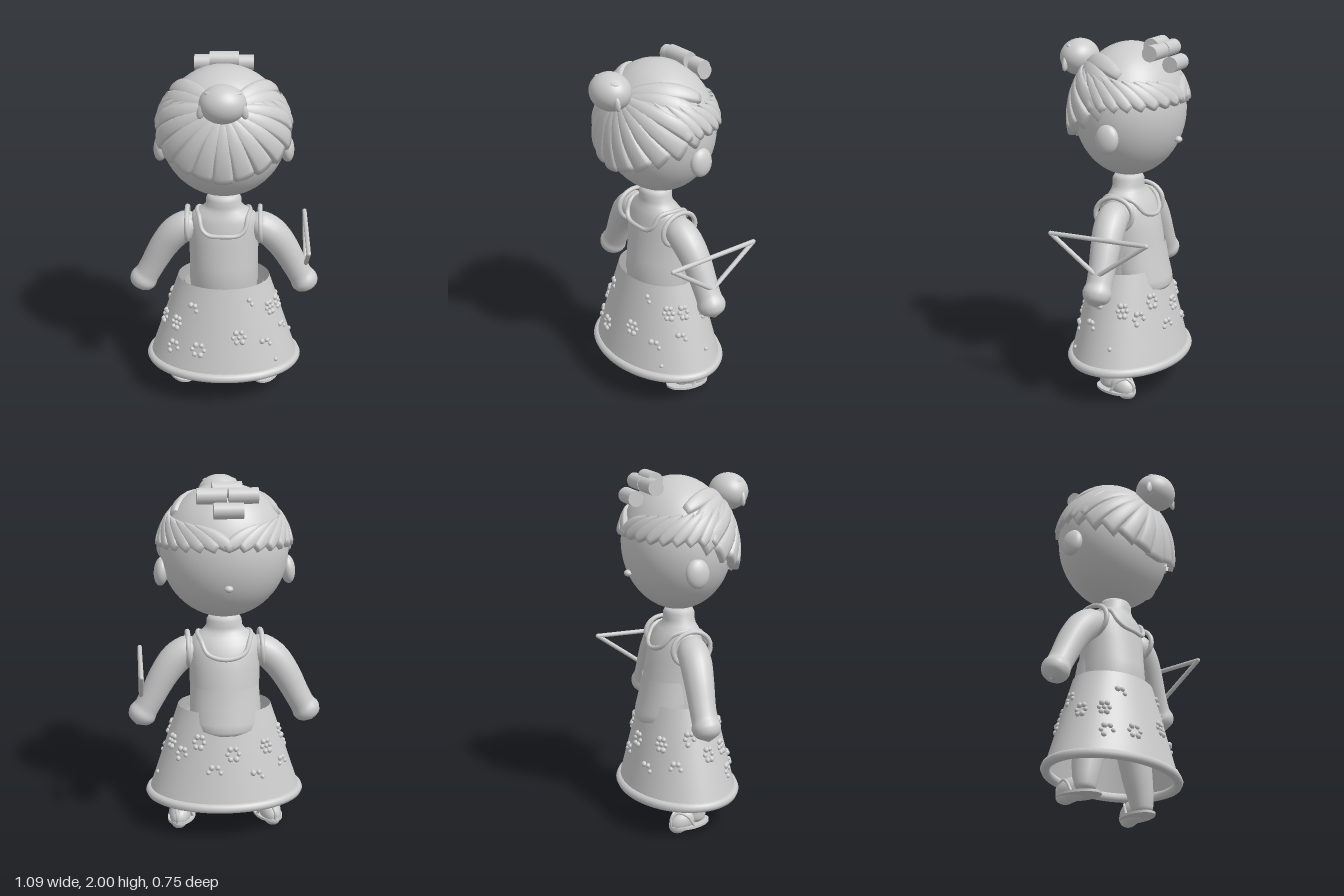
import * as THREE from 'three';

const clay = new THREE.MeshStandardMaterial({ color: 0xcccccc, side: THREE.DoubleSide });
clay.name = 'light grey clay';
const V = (x, y, z) => new THREE.Vector3(x, y, z);

function add(parent, name, geo, pos = [0, 0, 0], scale = [1, 1, 1], rot = [0, 0, 0]) {
  const m = new THREE.Mesh(geo, clay);
  m.name = name;
  m.position.set(...pos); m.scale.set(...scale); m.rotation.set(...rot);
  parent.add(m);
  return m;
}

// Grid of points (rows of equal length) to a smooth surface
function surface(rows, closed) {
  const n = rows[0].length, idx = [], pos = [];
  rows.forEach(r => r.forEach(p => pos.push(p.x, p.y, p.z)));
  for (let i = 0; i < rows.length - 1; i++)
    for (let j = 0; j < (closed ? n : n - 1); j++) {
      const k = (j + 1) % n, a = i * n + j, b = i * n + k, c = a + n, d = b + n;
      idx.push(a, b, d, a, d, c);
    }
  const g = new THREE.BufferGeometry();
  g.setAttribute('position', new THREE.Float32BufferAttribute(pos, 3));
  g.setIndex(idx);
  g.computeVertexNormals();
  return g;
}

// Stack of horizontal ellipses: [y, rx, rz, centre z]
function loft(sections, seg = 48) {
  return surface(sections.map(([y, rx, rz, cz]) => Array.from({ length: seg }, (_, j) => {
    const t = j / seg * Math.PI * 2;
    return V(Math.sin(t) * rx, y, cz + Math.cos(t) * rz);
  })), true);
}

// Round limb along a curve with changing radius: [x, y, z, r]
function limb(pts, steps = 28, seg = 20) {
  const curve = new THREE.CatmullRomCurve3(pts.map(p => V(p[0], p[1], p[2])));
  const radius = new THREE.CatmullRomCurve3(pts.map(p => V(p[3], 0, 0)));
  const rows = [];
  for (let i = 0; i <= steps; i++) {
    const t = i / steps, c = curve.getPoint(t), d = curve.getTangent(t);
    const a = V(0, 0, 1).cross(d).normalize(), b = d.clone().cross(a);
    const r = Math.max(0.001, radius.getPoint(t).x);
    rows.push(Array.from({ length: seg }, (_, j) => {
      const w = j / seg * Math.PI * 2;
      return c.clone().addScaledVector(a, Math.cos(w) * r).addScaledVector(b, Math.sin(w) * r);
    }));
  }
  return surface(rows, true);
}

const tube = (pts, r, closed = false) => new THREE.TubeGeometry(
  new THREE.CatmullRomCurve3(pts.map(p => V(...p)), closed, 'centripetal'), 64, r, 8, closed);

// Head ellipsoid and directions around it (angle in degrees from +z, unit height)
const headC = V(0, 1.602, -0.04), headR = V(0.35, 0.368, 0.3);
function dir(deg, y) {
  const t = deg * Math.PI / 180, c = Math.sqrt(1 - y * y);
  return V(Math.sin(t) * c, y, Math.cos(t) * c);
}

// Hair lock lying on the head from direction a to direction b
function lock(a, b, width, lift) {
  const rows = [], side = a.clone().cross(b).normalize();
  for (let i = 0; i <= 13; i++) {
    const s = Math.min(i / 12, 1), row = [];
    for (let j = 0; j <= 8; j++) {
      const t = j / 4 - 1;
      const d = a.clone().lerp(b, s).normalize().addScaledVector(side, t * width(s)).normalize();
      const bulge = i === 13 ? 0.95 : lift(s, d) + 0.055 * Math.sqrt(1 - t * t) - (Math.abs(t) === 1 ? 0.05 : 0);
      row.push(d.multiply(headR).multiplyScalar(bulge).add(headC));
    }
    rows.push(row);
  }
  return surface(rows, false);
}

function buildHead(g) {
  const ball = new THREE.SphereGeometry(1, 48, 32);
  add(g, 'head', ball, headC.toArray(), headR.toArray());
  add(g, 'nose', ball, [0, 1.452, -0.325], [0.024, 0.018, 0.022]);
  for (const s of [1, -1])
    add(g, s > 0 ? 'leftEar' : 'rightEar', ball, [s * 0.347, 1.495, -0.063], [0.04, 0.08, 0.066], [0, 0, s * 0.1]);

  // Fan of locks hanging from the bun
  const bunDir = dir(0, 0.56);
  for (let i = -5; i <= 5; i++) {
    const deg = i * 18, k = Math.abs(i) / 5;
    add(g, 'hairLock', lock(bunDir, dir(deg, -0.42 + 0.5 * Math.pow(k, 1.3)),
      s => 0.03 + 0.14 * Math.sqrt(s), (s, d) => 1.0 + 0.14 * s * Math.max(0, d.z)));
  }
  for (const s of [1, -1]) {
    // Upper swept locks
    for (let i = 0; i < 3; i++)
      add(g, 'sweptLock', lock(bunDir, dir(s * (85 + i * 10), 0.25 + i * 0.17),
        t => 0.03 + 0.13 * Math.sin(t * 2.7), () => 1.0));
    // Braid round the sides to the forehead
    for (let i = 0; i < 9; i++) {
      const deg = 74 + i * 13;
      add(g, 'braidLeaf', lock(dir(s * (deg - 30), 0.6 - i * 0.015), dir(s * (deg + 5), 0.12 + i * 0.008),
        t => 0.02 + 0.1 * Math.sin(t * 2.6), t => 1.0 + 0.035 * t));
    }
  }

  // Bun with small leaves
  add(g, 'bun', ball, [0, 1.865, 0.27], [0.124, 0.102, 0.107]);
  for (const s of [1, -1]) {
    add(g, 'bunLeaf', ball, [s * 0.108, 1.84, 0.305], [0.022, 0.045, 0.016], [0, 0, s * 0.3]);
    add(g, 'bunLeafTop', ball, [s * 0.06, 1.93, 0.305], [0.04, 0.014, 0.018], [0, s * 0.5, 0]);
  }

  // Four curlers above the forehead
  const curler = new THREE.CylinderGeometry(0.043, 0.043, 0.158, 24);
  for (const p of [[-0.085, 1.93, -0.222], [0.083, 1.93, -0.222], [0, 1.958, -0.193], [0, 1.866, -0.303]])
    add(g, 'curler', curler, p, [1, 1, 1], [0, 0, Math.PI / 2]);
}

function buildBody(g) {
  add(g, 'torsoAndNeck', loft([[0.62, 0.19, 0.17, -0.06], [0.72, 0.197, 0.19, -0.055], [0.82, 0.195, 0.18, -0.055],
    [0.95, 0.198, 0.16, -0.05], [1.03, 0.2, 0.145, -0.045], [1.09, 0.195, 0.125, -0.037], [1.125, 0.165, 0.105, -0.03],
    [1.15, 0.12, 0.09, -0.027], [1.175, 0.1, 0.086, -0.027], [1.21, 0.098, 0.087, -0.027], [1.232, 0.085, 0.076, -0.027],
    [1.24, 0.05, 0.045, -0.027]]));
  add(g, 'blouseTail', loft([[0.595, 0.06, 0.04, -0.21], [0.598, 0.15, 0.11, -0.16], [0.62, 0.19, 0.15, -0.132],
    [0.66, 0.2, 0.155, -0.12], [0.74, 0.198, 0.155, -0.1], [0.85, 0.19, 0.15, -0.085]]));
  // Scooped neckline on both sides
  add(g, 'neckline', tube([[0.15, 1.13, -0.03], [0.135, 1.12, 0.045], [0.12, 1.06, 0.08], [0.085, 1.03, 0.095],
    [0, 1.025, 0.103], [-0.085, 1.03, 0.095], [-0.12, 1.06, 0.08], [-0.135, 1.12, 0.045], [-0.15, 1.13, -0.03],
    [-0.135, 1.11, -0.12], [-0.1, 1.045, -0.17], [0, 1.02, -0.195], [0.1, 1.045, -0.17], [0.135, 1.11, -0.12]], 0.013, true));

  for (const s of [1, -1]) {
    const side = s > 0 ? 'left' : 'right';
    add(g, side + 'Armhole', new THREE.TorusGeometry(0.105, 0.014, 10, 40), [s * 0.205, 1.045, -0.035],
      [1.05, 0.9, 1], [0, Math.PI / 2, s * 0.12]);
    add(g, side + 'Arm', limb([[s * 0.14, 1.04, -0.035, 0.04], [s * 0.2, 1.035, -0.035, 0.085], [s * 0.27, 0.99, -0.04, 0.088],
      [s * 0.34, 0.9, -0.05, 0.082], [s * 0.405, 0.78, -0.058, 0.073], [s * 0.44, 0.715, -0.06, 0.071],
      [s * 0.465, 0.675, -0.06, 0.08], [s * 0.485, 0.64, -0.06, 0.066], [s * 0.5, 0.61, -0.06, 0.003]]));
  }

  // Triangular handle at the left hand
  const corners = [[0.47, 0.98, 0.215], [0.47, 0.98, -0.348], [0.47, 0.775, -0.062]];
  corners.forEach((p, i) => {
    const q = corners[(i + 1) % 3];
    add(g, 'triangleBar', new THREE.TubeGeometry(new THREE.LineCurve3(V(...p), V(...q)), 1, 0.013, 10));
    add(g, 'triangleCorner', new THREE.SphereGeometry(0.013, 10, 8), p);
  });
}

function buildSkirt(g) {
  const at = y => {
    const t = (0.72 - y) / 0.52;
    return [y, 0.262 + 0.172 * t, 0.198 + 0.117 * t, -0.042];
  };
  add(g, 'skirt', loft([0.19, 0.3, 0.4, 0.5, 0.6, 0.72].map(at), 64));
  const hem = Array.from({ length: 32 }, (_, i) => {
    const a = i / 32 * Math.PI * 2;
    return [Math.sin(a) * 0.426, 0.2, -0.042 + Math.cos(a) * 0.308];
  });
  add(g, 'skirtHem', tube(hem, 0.027, true));

  // Bead blossoms: [angle, height, beads]
  const bead = new THREE.SphereGeometry(1, 10, 8);
  const blossoms = [[-52, 0.48, 7], [-48, 0.34, 5], [-22, 0.36, 6], [-35, 0.58, 3], [15, 0.44, 7], [58, 0.57, 7], [28, 0.62, 2],
    [40, 0.37, 3], [42, 0.27, 1], [78, 0.57, 6], [112, 0.53, 7], [132, 0.48, 5], [95, 0.33, 1], [70, 0.42, 3],
    [150, 0.56, 6], [168, 0.4, 4], [185, 0.5, 6], [205, 0.36, 3], [222, 0.52, 7], [240, 0.4, 4], [258, 0.56, 5], [282, 0.47, 6]];
  for (const [deg, y, n] of blossoms)
    for (let i = 0; i < n; i++) {
      const w = i / 6 * Math.PI * 2, r = i === 6 ? 0 : 0.032;
      const [h, rx, rz, cz] = at(y + Math.sin(w) * r);
      const t = deg * Math.PI / 180 + Math.cos(w) * r / 0.33;
      const size = 0.013 + 0.002 * (i % 3);
      add(g, 'skirtBead', bead, [Math.sin(t) * rx, h, cz + Math.cos(t) * rz], [size, size, size]);
    }
}

function buildLegs(g) {
  const ball = new THREE.SphereGeometry(1, 24, 16);
  for (const s of [1, -1]) {
    const side = s > 0 ? 'left' : 'right';
    add(g, side + 'Leg', limb([[s * 0.13, 0.66, -0.05, 0.1], [s * 0.17, 0.45, -0.045, 0.098], [s * 0.215, 0.25, -0.04, 0.085],
      [s * 0.24, 0.13, -0.035, 0.07], [s * 0.248, 0.07, -0.035, 0.06], [s * 0.25, 0.035, -0.035, 0.01]]));
    const foot = new THREE.Group();
    foot.name = side + 'Foot';
    foot.position.set(s * 0.25, 0, -0.07);
    foot.rotation.y = -s * 0.25;
    g.add(foot);
    add(foot, 'foot', ball, [0, 0.075, -0.04], [0.06, 0.065, 0.09], [-0.35, 0, 0]);
    add(foot, 'toe', ball, [0, 0.04, -0.075], [0.045, 0.04, 0.055]);
    add(foot, 'sandalSole', new THREE.CylinderGeometry(1, 1, 0.014, 40), [0, 0.042, 0], [0.078, 1, 0.128]);
    for (const k of [1, -1])
      add(foot, 'sandalStrap', tube([[k * 0.068, 0.045, -0.01], [k * 0.05, 0.11, -0.05], [k * 0.015, 0.125, -0.09],
        [0, 0.09, -0.125], [0, 0.045, -0.122]], 0.008));
  }
}

export function createModel() {
  const model = new THREE.Group();
  model.name = 'doll';
  for (const [name, build] of [['headGroup', buildHead], ['bodyGroup', buildBody], ['skirtGroup', buildSkirt], ['legGroup', buildLegs]]) {
    const g = new THREE.Group();
    g.name = name;
    build(g);
    model.add(g);
  }
  return model;
}
